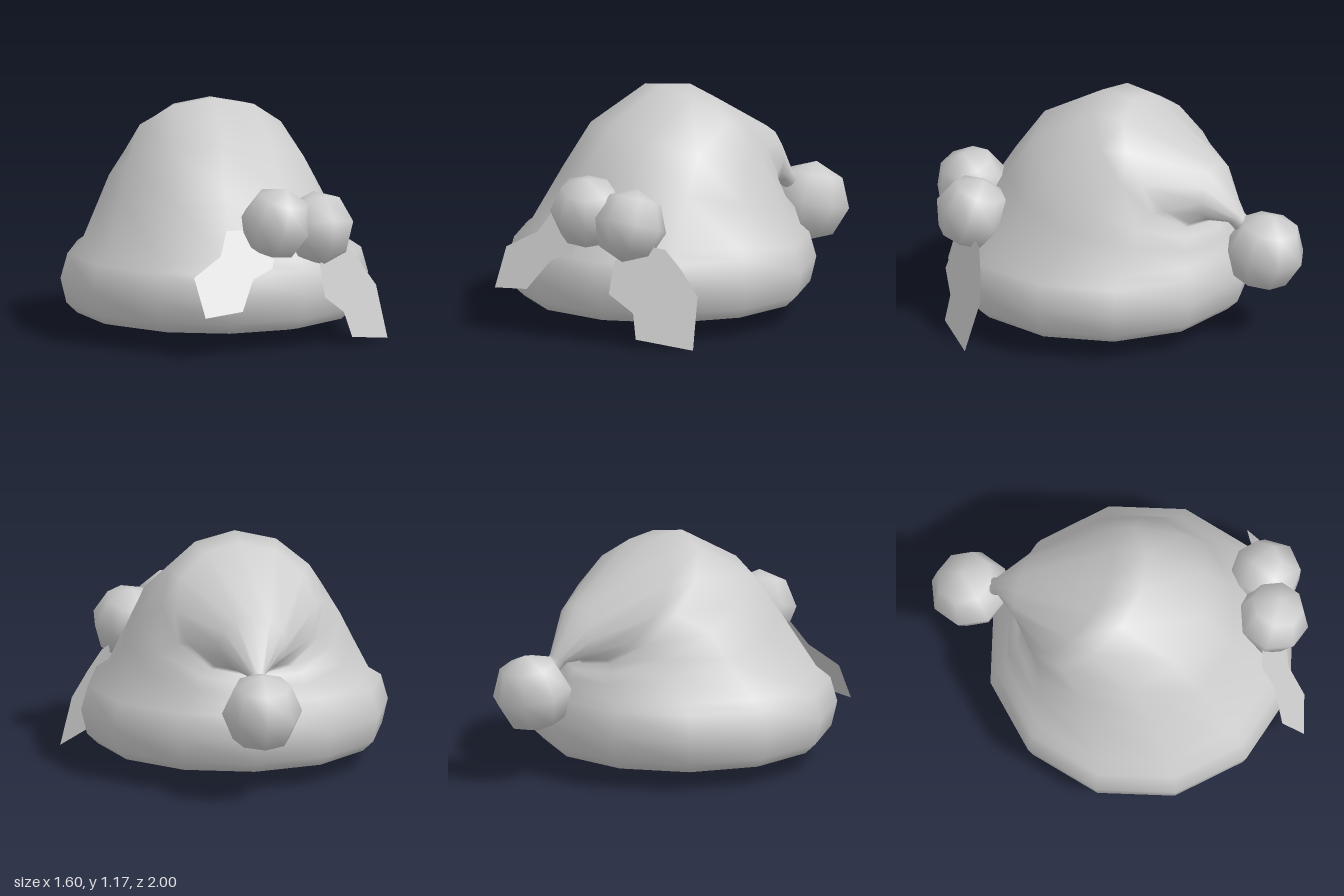
import * as THREE from 'three';

const CX = -0.025, CZ = 0.1, SIDES = 12;

export function createModel() {
  const hat = new THREE.Group();
  hat.name = 'bobbleHat';
  const grey = new THREE.MeshStandardMaterial({ color: 0xcccccc, side: THREE.DoubleSide });
  grey.name = 'plain grey';

  const add = (name, geometry, x = 0, y = 0, z = 0) => {
    const mesh = new THREE.Mesh(geometry, grey);
    mesh.name = name;
    mesh.position.set(x, y, z);
    hat.add(mesh);
    return mesh;
  };

  // Cap body: a loft of rings, each an upper point (z, y), a lower point (z, y) and a half width
  const level = (radius, y) => [CZ + radius, y, CZ - radius, y, radius];
  const rings = [
    // closed underside and rolled brim
    level(0, 0.085), level(0.61, 0.08), level(0.69, 0.098), level(0.745, 0.15),
    level(0.775, 0.275), level(0.74, 0.4),
    // crown, tilting over to the back and narrowing to a tip
    [0.78, 0.445, -0.6, 0.44, 0.675],
    [0.575, 0.77, -0.585, 0.5, 0.575],
    [0.42, 0.99, -0.54, 0.54, 0.51],
    [0.1, 1.17, -0.5, 0.565, 0.41],
    [-0.07, 1.15, -0.5, 0.58, 0.36],
    [-0.53, 0.88, -0.52, 0.59, 0.17],
    [-0.68, 0.635, -0.6, 0.585, 0.045],
    [-0.74, 0.59, -0.66, 0.53, 0.04],
  ];
  const positions = [], index = [];
  rings.forEach(([z1, y1, z2, y2, w], r) => {
    for (let i = 0; i < SIDES; i++) {
      const t = (i / SIDES) * Math.PI * 2, c = Math.cos(t) / 2;
      positions.push(CX + w * Math.sin(t),
        (y1 + y2) / 2 + (y1 - y2) * c, (z1 + z2) / 2 + (z1 - z2) * c);
      if (r < rings.length - 1) {
        const a = r * SIDES + i, b = r * SIDES + (i + 1) % SIDES;
        index.push(a, b, a + SIDES, b, b + SIDES, a + SIDES);
      }
    }
  });
  const body = new THREE.BufferGeometry();
  body.setAttribute('position', new THREE.Float32BufferAttribute(positions, 3));
  body.setIndex(index);
  body.computeVertexNormals();
  add('brimAndCrown', body);

  // Pompom at the tip and two berries at the front
  const ball = (name, radius, position, rotation) => {
    add(name, new THREE.SphereGeometry(radius, 8, 4), ...position).rotation.set(...rotation);
  };
  ball('tipPompom', 0.203, [-0.03, 0.458, -0.798], [-0.21, 0, 0]);
  ball('innerBerry', 0.187, [0.21, 0.635, 0.71], [0.2, 0.1, -0.25]);
  ball('outerBerry', 0.187, [0.435, 0.59, 0.605], [-0.35, 0.3, 0.1]);

  // Flat leaves: an outline in x and y, laid on the sloping plane z = a + bx + cy
  const leaf = (name, outline, a, b, c) => {
    const g = new THREE.ShapeGeometry(new THREE.Shape(outline.map(p => new THREE.Vector2(...p))));
    const p = g.attributes.position;
    for (let i = 0; i < p.count; i++) p.setZ(i, a + b * p.getX(i) + c * p.getY(i));
    g.computeVertexNormals();
    add(name, g);
  };
  leaf('innerLeaf', [[-0.23, 0.4], [-0.185, 0.21], [0.01, 0.23], [0.075, 0.375], [0.18, 0.42],
    [0.2, 0.52], [0.06, 0.605], [-0.045, 0.605], [-0.085, 0.49]], 1.077, -0.246, -0.585);
  leaf('outerLeaf', [[0.43, 0.42], [0.45, 0.26], [0.555, 0.17], [0.595, 0.045], [0.8, 0],
    [0.75, 0.26], [0.66, 0.39], [0.585, 0.48], [0.5, 0.5]], 1.36, -1.11, -0.45);

  return hat;
}
